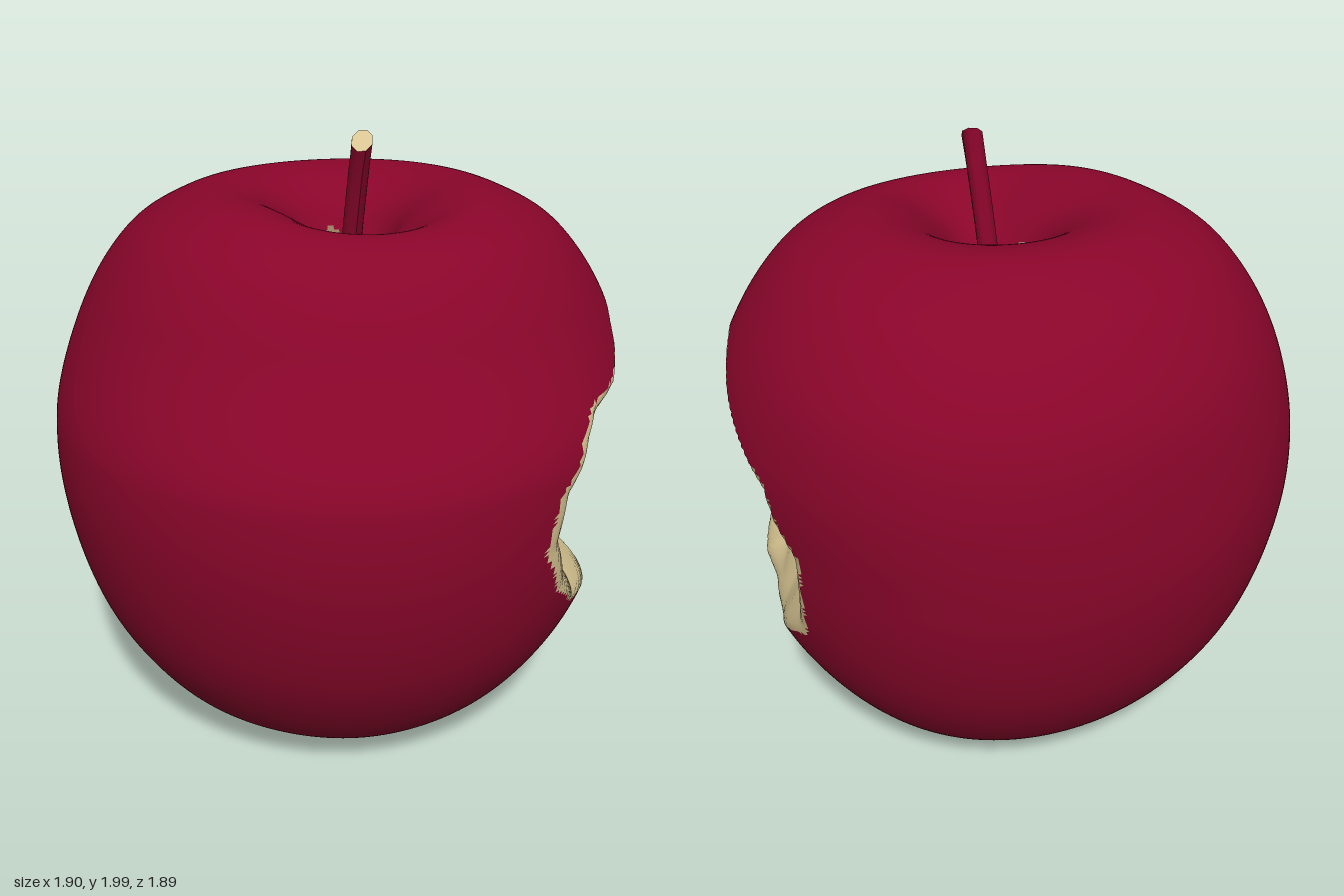
import * as THREE from 'three';

const red = new THREE.MeshStandardMaterial({ color: 0x89052a });
red.name = 'red skin';
const cream = new THREE.MeshStandardMaterial({ color: 0xd8c592 });
cream.name = 'cream flesh';
const brown = new THREE.MeshStandardMaterial({ color: 0x9a7c5e });
brown.name = 'brown hollow';

const SIDES = 264, RINGS = 216;
const { smoothstep, clamp } = THREE.MathUtils;

// Radius and height from the bottom hollow, round the side, into the top hollow
const profile = [
  [0.004, 0.19], [0.06, 0.18], [0.12, 0.13], [0.2, 0.07], [0.3, 0.03], [0.42, 0.03], [0.62, 0.14],
  [0.79, 0.36], [0.89, 0.6], [0.947, 0.95], [0.915, 1.26], [0.84, 1.48], [0.7, 1.67], [0.58, 1.75],
  [0.44, 1.8], [0.31, 1.78], [0.2, 1.71], [0.13, 1.61], [0.07, 1.51], [0.004, 1.48],
];

// Rim of the bite as seen from its side: z, y
const rim = [
  [0.88, 0.88], [0.875, 1.06], [0.8, 1.2], [0.73, 1.27], [0.6, 1.29], [0.48, 1.35], [0.4, 1.41],
  [0.25, 1.455], [0.15, 1.42], [-0.08, 1.28], [-0.25, 1.18], [-0.28, 1.08], [-0.355, 0.97],
  [-0.33, 0.8], [-0.28, 0.63], [-0.1, 0.53], [0.08, 0.4], [0.24, 0.34], [0.34, 0.38],
  [0.4, 0.48], [0.7, 0.58], [0.81, 0.7],
];

// Distance inside the rim, negative when outside
function insideRim(z, y) {
  let inside = false, best = 9;
  rim.forEach(([az, ay], i) => {
    const [bz, by] = rim[(i + 1) % rim.length];
    if ((ay > y) !== (by > y) && z < az + ((bz - az) * (y - ay)) / (by - ay)) inside = !inside;
    const dz = bz - az, dy = by - ay;
    const t = clamp(((z - az) * dz + (y - ay) * dy) / (dz * dz + dy * dy), 0, 1);
    best = Math.min(best, Math.hypot(z - az - t * dz, y - ay - t * dy));
  });
  return inside ? best : -best;
}

const core = new THREE.Vector3(0, 0.9, 0.1);
const biteDirection = new THREE.Vector3(0.91, 0, 0.42).normalize();

// Pushes a skin point in towards the core, leaving two tooth scoops with a ridge between
function carve(p, depth) {
  const { y, z } = p;
  const ridge = 0.05 * Math.exp(-(((z - 0.28) / 0.12) ** 2));
  const bumps = 0.01 * Math.sin(9 * z + 5 * y) * Math.sin(11 * y - 4 * z);
  const floor = 0.585 + ridge + bumps + 0.13 * ((y - 0.9) / 0.5) ** 2;
  const offset = p.clone().sub(core);
  const k = Math.min(1, floor / offset.dot(biteDirection));
  const blend = smoothstep(depth, 0, 0.12);
  return core.clone().addScaledVector(offset, 1 + (k - 1) * blend);
}

function skinPoint(r, y, a) {
  const s = Math.sin(a), c = Math.cos(a);
  const back = s < 0 ? 0.02 * Math.sin(2 * a) ** 2 : 0;
  // Narrow shoulders at the front and left, a fuller one at the right
  const shoulder = smoothstep(y, 1.1, 1.5) * (0.05 * Math.min(0, c) - 0.065 * s - 0.045 * s * s);
  const right = smoothstep(y, 0.9, 1.25) * 0.04 * Math.max(0, c);
  const radius = r * (1 + back + shoulder + right);
  const shift = y > 1.3 ? 0.025 * Math.max(0, 1 - r / 0.5) : 0;
  // Low notch at the front of the top hollow, lobes and a raised back edge around the base
  if (y > 1.3) y -= 0.1 * Math.max(0, s) ** 3 * Math.exp(-(((r - 0.28) / 0.2) ** 2));
  if (y < 0.4) {
    const base = Math.exp(-(((r - 0.35) / 0.18) ** 2));
    y += base * (0.018 * Math.cos(5 * a + 0.6) + 0.025 * Math.max(0, -s));
  }
  return new THREE.Vector3(radius * c + shift, Math.max(0, y), radius * s);
}

function buildApple() {
  const curve = new THREE.CatmullRomCurve3(profile.map(([r, y]) => new THREE.Vector3(r, y, 0)));
  const rings = curve.getSpacedPoints(RINGS);
  const positions = [], biteDepth = [], isHollow = [];
  rings.forEach(({ x: r, y }) => {
    for (let j = 0; j < SIDES; j++) {
      const a = (j / SIDES) * Math.PI * 2;
      let p = skinPoint(r, y, a);
      const depth = p.x > 0.2 ? insideRim(p.z, p.y) : -1;
      biteDepth.push(depth);
      const edge = (y > 1 ? 0.13 : 0.08) + 0.012 * Math.sin(3 * a) + 0.008 * Math.sin(7 * a);
      isHollow.push(r < edge);
      if (depth > 0) p = carve(p, depth);
      positions.push(p.x, p.y, p.z);
    }
  });

  // Sort the faces into skin, bite and hollows
  const faces = { skin: [], bite: [], hollows: [] };
  const add = (...tri) => {
    const depth = tri.reduce((sum, i) => sum + biteDepth[i], 0);
    const key = depth > 0 ? 'bite' : tri.every((i) => isHollow[i]) ? 'hollows' : 'skin';
    faces[key].push(...tri);
  };
  for (let i = 0; i < RINGS; i++) {
    for (let j = 0; j < SIDES; j++) {
      const a = i * SIDES + j, b = i * SIDES + ((j + 1) % SIDES);
      add(a, a + SIDES, b);
      add(a + SIDES, b + SIDES, b);
    }
  }
  const makeMesh = (name, material) => {
    const geometry = new THREE.BufferGeometry();
    geometry.setAttribute('position', new THREE.Float32BufferAttribute(positions, 3));
    geometry.setIndex(faces[name]);
    geometry.computeVertexNormals();
    const mesh = new THREE.Mesh(geometry, material);
    mesh.name = name;
    return mesh;
  };
  return [makeMesh('skin', red), makeMesh('bite', cream), makeMesh('hollows', brown)];
}

// Stem leaning to the front, with a slanted cut at the tip
function buildStem() {
  const radius = 0.034;
  const geometry = new THREE.CylinderGeometry(radius, radius, 1, 8, 6);
  const p = geometry.attributes.position;
  for (let i = 0; i < p.count; i++) {
    const t = p.getY(i) + 0.5, x = p.getX(i), z = p.getZ(i);
    const cut = t > 0.99 ? (0.013 * x - 0.025 * z) / radius : 0;
    p.setXYZ(i, x + 0.02, 1.46 + 0.513 * t + cut, z + 0.02 + 0.13 * t ** 1.2);
  }
  geometry.computeVertexNormals();
  const stem = new THREE.Mesh(geometry, [red, cream, cream]);
  stem.name = 'stem';
  return stem;
}

export function createModel() {
  const apple = new THREE.Group();
  apple.name = 'bitten apple';
  apple.add(...buildApple(), buildStem());
  return apple;
}
